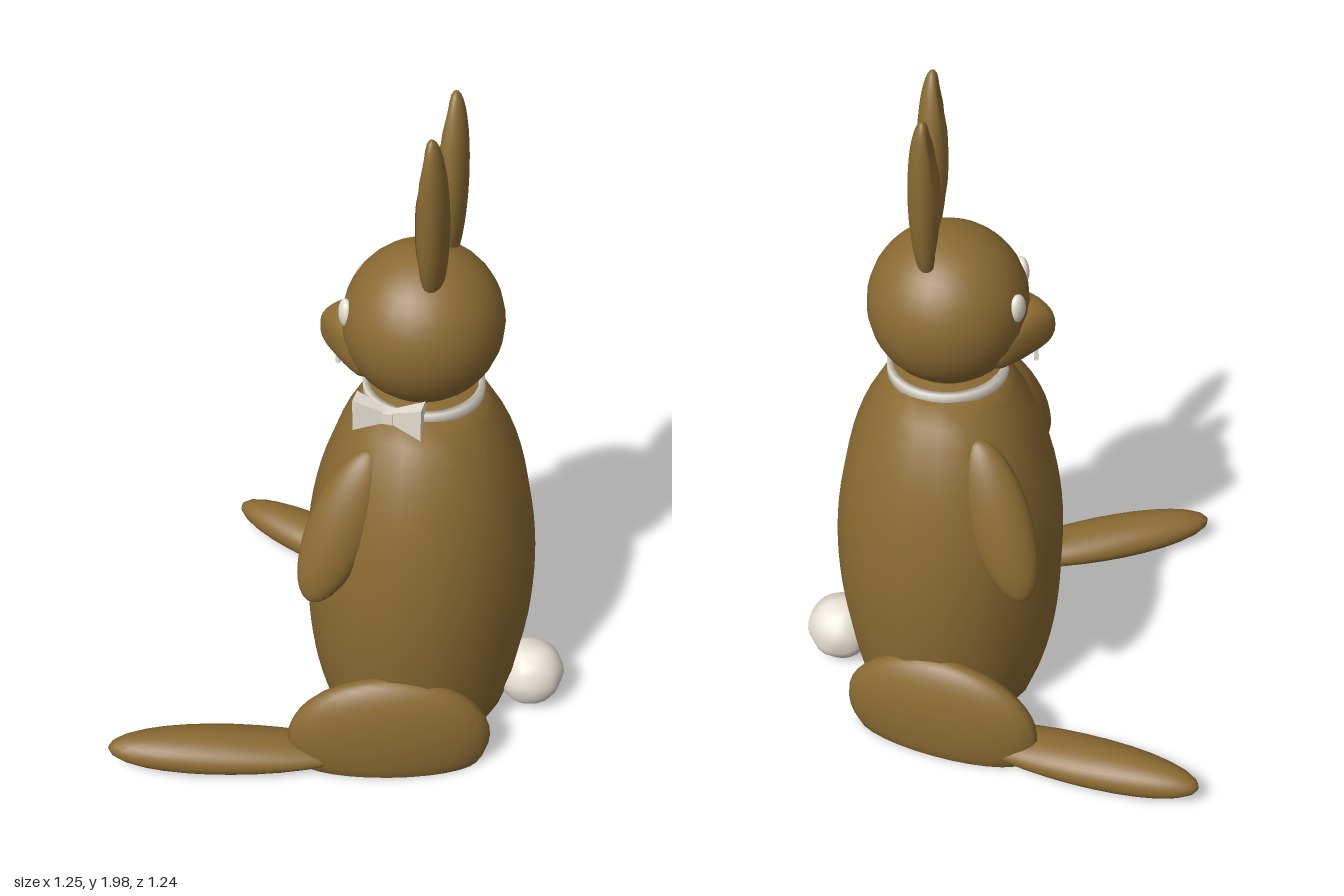
import * as THREE from 'three';
import { mergeVertices } from 'three/addons/utils/BufferGeometryUtils.js';

const fur = new THREE.MeshStandardMaterial({ color: 0x8a6a32 });
const cream = new THREE.MeshStandardMaterial({ color: 0xe6dfd2 });
const MID = -0.015; // symmetry plane of the body

// Move every vertex of a geometry by a rule
function reshape(geo, rule) {
  const p = geo.attributes.position, v = new THREE.Vector3();
  for (let i = 0; i < p.count; i++) {
    v.fromBufferAttribute(p, i);
    rule(v);
    p.setXYZ(i, v.x, v.y, v.z);
  }
  geo.computeVertexNormals();
  return geo;
}

// Smooth ellipsoid; the optional rule works on the unit sphere
function ellipsoid(rx, ry, rz, rule = () => {}, w = 28, h = 20) {
  let geo = new THREE.SphereGeometry(1, w, h);
  geo.deleteAttribute('uv');
  geo.deleteAttribute('normal');
  geo = mergeVertices(geo, 1e-5);
  return reshape(geo, (v) => { rule(v); v.set(v.x * rx, v.y * ry, v.z * rz); });
}

export function createModel() {
  const model = new THREE.Group();
  const add = (name, geo, mat, x, y, z) => {
    const m = new THREE.Mesh(geo, mat);
    m.name = name;
    m.position.set(x, y, z);
    model.add(m);
    return m;
  };

  // Egg-shaped body with a flat base
  const profile = [new THREE.Vector2(0, 0.02)];
  for (let i = 0; i <= 20; i++) {
    const y = 0.02 + (1.14 - 0.02) * i / 20;
    const d = y < 0.5 ? (y - 0.5) / 0.8 : (y - 0.5) / 0.72;
    profile.push(new THREE.Vector2(Math.sqrt(1 - d * d), y));
  }
  profile.push(new THREE.Vector2(0, 1.15));
  const body = add('body', new THREE.LatheGeometry(profile, 18), fur, 0.172, 0, MID);
  body.scale.set(0.338, 1, 0.387);

  // Head and tapering muzzle
  add('head', ellipsoid(0.225, 0.228, 0.228), fur, 0.165, 1.363, MID);
  add('muzzle', ellipsoid(0.14, 0.092, 0.14, (v) => {
    v.y = Math.sign(v.y) * Math.abs(v.y) ** 0.8;
    v.z *= 1 - 0.6 * Math.max(0, -v.x);
    v.y -= 0.25 * Math.max(0, v.x + 0.6);
  }), fur, 0.01, 1.297, MID);
  add('tooth', new THREE.BoxGeometry(0.012, 0.05, 0.025), cream, -0.078, 1.205, MID);

  for (const s of [1, -1]) {
    const side = s > 0 ? 'Near' : 'Far';

    const eye = add('eye' + side, ellipsoid(0.02, 0.043, 0.03), cream, -0.03, 1.41, MID + s * 0.092);
    eye.rotation.y = s * 0.5;

    // Upright ear with a hollow in its front face
    const ear = add('ear' + side, ellipsoid(0.046, 0.26, 0.066, (v) => {
      if (v.x < 0) v.x *= 1 - 1.3 * Math.max(0, 1 - (v.z / 0.6) ** 2) * Math.max(0, 1 - v.y * v.y);
      v.z *= 1 - 0.12 * v.y;
    }), fur, 0.208, 1.742, MID + s * 0.108);
    ear.rotation.x = s * 0.11;

    // Flat arm hanging forward and outward
    const arm = add('arm' + side, ellipsoid(0.092, 0.25, 0.062), fur, 0.005, 0.82, MID + s * 0.288);
    arm.quaternion.setFromUnitVectors(
      new THREE.Vector3(0, 1, 0), new THREE.Vector3(0.14, 0.45, -s * 0.15).normalize());

    // Haunch, flat underneath
    const haunch = add('haunch' + side, ellipsoid(0.3, 0.225, 0.085, (v) => {
      v.y = Math.max(v.y, -0.45);
    }), fur, 0.173, 0.12, MID + s * 0.37);
    haunch.rotation.y = s * 0.28;

    // Long foot, thick at the toes and thin at the heel
    const foot = add('foot' + side, ellipsoid(0.37, 0.07, 0.088, (v) => {
      const t = (v.x + 1) / 2;
      v.y = Math.max(v.y, -0.85) * (1.08 - 0.5 * t) - 0.45 * t + 0.12;
    }), fur, s > 0 ? -0.27 : -0.235, 0.08, s * 0.487);
    foot.rotation.y = s * 0.29;
  }

  // Collar band
  const band = [[0.155, 1.132], [0.172, 1.132], [0.172, 1.165], [0.155, 1.165], [0.155, 1.132]];
  const collarGeo = new THREE.LatheGeometry(band.map(([r, y]) => new THREE.Vector2(r, y)), 32);
  add('collar', collarGeo, cream, 0.17, 0, MID);

  // Bow: two flared wings and a knot
  for (const s of [1, -1]) {
    const wing = reshape(new THREE.BoxGeometry(0.095, 0.1, 0.05), (v) => {
      if (v.x * s < 0) { v.y *= 0.3; v.z *= 0.4; }
    });
    add(s > 0 ? 'bowWingBack' : 'bowWingFront', wing, cream, 0.115 + s * 0.049, 1.153, 0.165);
  }
  add('bowKnot', new THREE.BoxGeometry(0.03, 0.035, 0.035), cream, 0.115, 1.153, 0.165);

  // Fluffy, slightly lumpy tail
  let ball = new THREE.IcosahedronGeometry(0.102, 5);
  ball.deleteAttribute('uv');
  ball.deleteAttribute('normal');
  ball = reshape(mergeVertices(ball, 1e-5), (v) => {
    const n = Math.sin(v.x * 71 + v.y * 43) + Math.sin(v.y * 83 - v.z * 57) + Math.sin(v.z * 91 + v.x * 37);
    v.multiplyScalar(1 + 0.012 * n);
  });
  add('tail', ball, cream, 0.52, 0.12, -0.025);

  return model;
}
